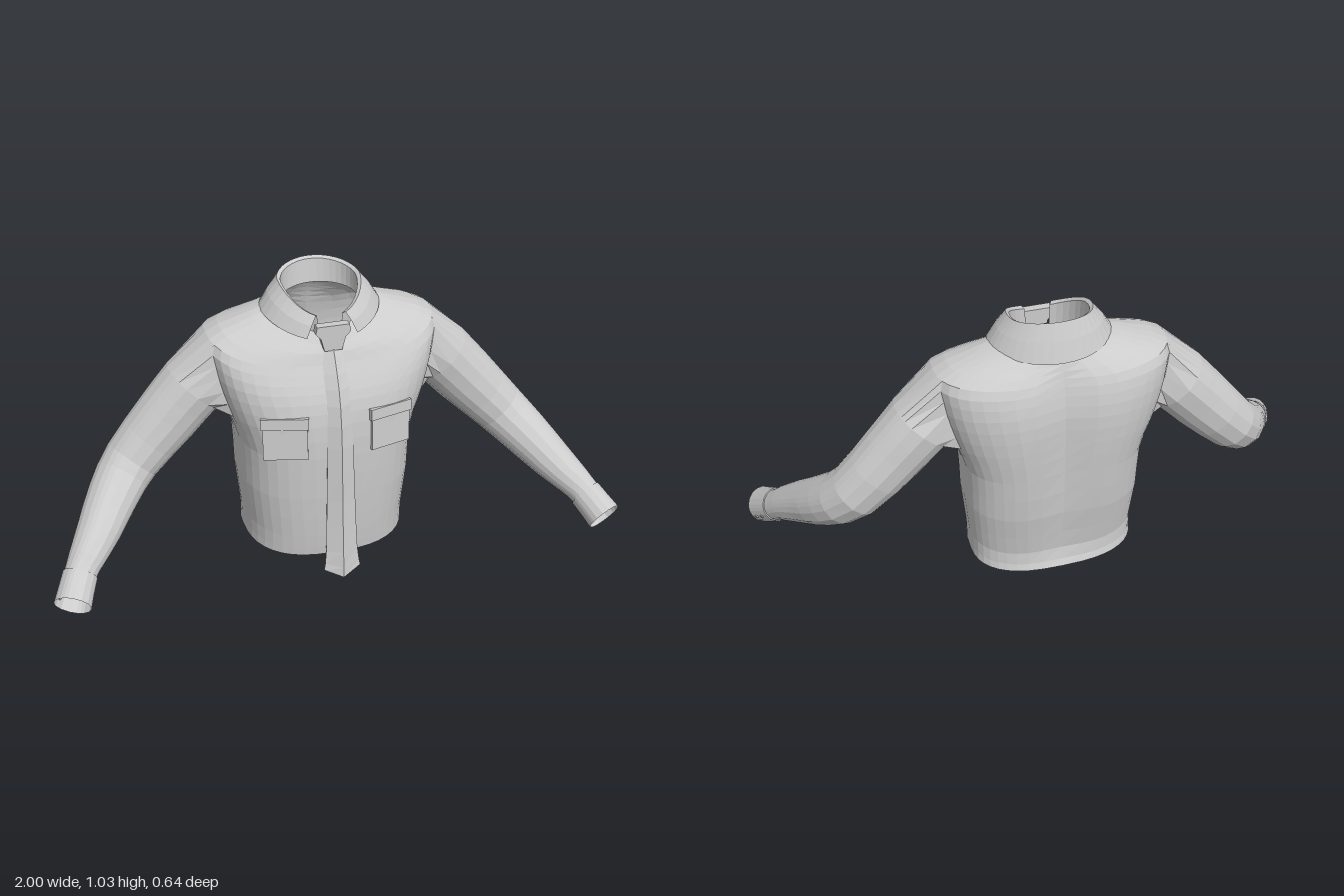
import * as THREE from 'three';

const material = new THREE.MeshStandardMaterial({ color: 0xcccccc, flatShading: true, side: THREE.DoubleSide });
const V = (x, y, z) => new THREE.Vector3(x, y, z);
const mix = THREE.MathUtils.lerp;

// Smooth sample of a table of number rows at fractional row t
function sample(table, t) {
  const i = Math.min(Math.floor(t), table.length - 2), f = t - i;
  const at = k => table[Math.max(0, Math.min(table.length - 1, k))];
  const [a, b, c, d] = [at(i - 1), at(i), at(i + 1), at(i + 2)];
  return b.map((_, k) => b[k] + 0.5 * f * (c[k] - a[k] +
    f * (2 * a[k] - 5 * b[k] + 4 * c[k] - d[k] + f * (3 * (b[k] - c[k]) + d[k] - a[k]))));
}

// Skin over rows of points; skip(j, i) leaves holes
function loft(rows, closed = true, skip = () => false) {
  const n = rows[0].length, index = [];
  for (let j = 0; j < rows.length - 1; j++) {
    for (let i = 0; i < (closed ? n : n - 1); i++) {
      if (skip(j, i)) continue;
      const a = j * n + i, b = j * n + (i + 1) % n;
      index.push(a, a + n, b, b, a + n, b + n);
    }
  }
  const g = new THREE.BufferGeometry().setFromPoints(rows.flat());
  g.setIndex(index);
  g.computeVertexNormals();
  return g;
}

const mirrorRows = rows => rows.map(r => r.map(p => V(-p.x, p.y, p.z)).reverse());

// Point on a body ring: half width, side y, front z/y, back z/y, roundness, spine dent
function bodyPoint([w, yS, zF, yF, zB, yB, p, dent], a) {
  const c = Math.cos(a), s = Math.sin(a), zc = -0.11;
  const sp = Math.pow(Math.abs(s), p), m = Math.pow(Math.abs(s), 1.5);
  const x = w * Math.sign(c) * Math.pow(Math.abs(c), p);
  const z = zc + sp * ((s > 0 ? zF : zB) - zc) + (s < 0 ? dent * Math.exp(-((x / 0.09) ** 2)) : 0);
  return V(x, mix(yS, s > 0 ? yF : yB, m), z);
}

// Ring around a sleeve axis
function sleeveRing([x, y, z, r, rz], t, angles) {
  const u = V(0, 0, 1).addScaledVector(t, -t.z).normalize();
  const v = u.clone().cross(t);
  return angles.map(a => V(x, y, z).addScaledVector(u, rz * Math.cos(a)).addScaledVector(v, r * Math.sin(a)));
}

export function createModel() {
  const group = new THREE.Group();
  const add = (name, geometry, parent = group) => {
    const m = new THREE.Mesh(geometry, material);
    m.name = name;
    parent.add(m);
    return m;
  };

  // Body, hem to neckline
  const bodyTable = [
    [0.285, 0.08, 0.13, 0.055, -0.275, 0.06, 0.75, 0],
    [0.285, 0.16, 0.14, 0.14, -0.266, 0.13, 0.75, 0.01],
    [0.30, 0.32, 0.15, 0.30, -0.297, 0.30, 0.72, 0.02],
    [0.305, 0.48, 0.155, 0.46, -0.317, 0.48, 0.7, 0.03],
    [0.34, 0.585, 0.15, 0.58, -0.326, 0.60, 0.7, 0.035],
    [0.37, 0.68, 0.135, 0.66, -0.327, 0.70, 0.7, 0.035],
    [0.39, 0.78, 0.11, 0.72, -0.317, 0.78, 0.7, 0.035],
    [0.39, 0.855, 0.08, 0.775, -0.298, 0.84, 0.75, 0.03],
    [0.29, 0.895, 0.065, 0.81, -0.265, 0.885, 0.85, 0.01],
    [0.19, 0.925, 0.05, 0.83, -0.235, 0.925, 1, 0],
    [0.13, 0.94, 0.03, 0.86, -0.212, 0.945, 1, 0],
  ];
  const N = 40, body = [];
  for (let j = 0; j <= 20; j++) {
    const row = sample(bodyTable, j / 2);
    body.push(Array.from({ length: N }, (_, i) => bodyPoint(row, i / N * Math.PI * 2)));
  }
  const inArmhole = (j, i) => j >= 8 && j < 14 && (i < 2 || i >= 38 || (i >= 18 && i < 22));
  add('jacketBody', loft(body, true, inArmhole));

  // Armhole edge, shared by body and sleeve
  const armhole = [], at = (j, i) => armhole.push(body[j][(i + N) % N].clone());
  for (let i = -2; i < 2; i++) at(8, i);
  for (let j = 8; j < 14; j++) at(j, 2);
  for (let i = 2; i > -2; i--) at(14, i);
  for (let j = 14; j > 8; j--) at(j, -2);
  const angles = armhole.map(p => Math.atan2(p.y - 0.72, p.z + 0.11));

  // Sleeve axis: x, y, z, radius, radius along z
  const arm = [
    [0.36, 0.735, -0.115, 0.13, 0.115],
    [0.44, 0.66, -0.115, 0.115, 0.112],
    [0.53, 0.56, -0.112, 0.111, 0.103],
    [0.665, 0.415, -0.095, 0.097, 0.097],
    [0.745, 0.335, -0.02, 0.087, 0.09],
    [0.815, 0.265, 0.08, 0.074, 0.077],
    [0.872, 0.212, 0.155, 0.06, 0.063],
    [0.90, 0.18, 0.195, 0.054, 0.056],
    [0.94, 0.125, 0.28, 0.06, 0.062],
  ];
  const ringAt = (t, grow = 0) => {
    const c = sample(arm, t), lo = sample(arm, Math.max(0, t - 0.3)), hi = sample(arm, Math.min(8, t + 0.3));
    const dir = V(hi[0] - lo[0], hi[1] - lo[1], hi[2] - lo[2]).normalize();
    return sleeveRing([c[0], c[1], c[2], c[3] + grow, c[4] + grow], dir, angles);
  };
  const sleeve = [armhole];
  for (let t = 1; t <= 7; t += 0.5) sleeve.push(ringAt(t));
  const cuff = [ringAt(7, -0.002), ringAt(7, 0.004), ringAt(7.5, 0.003), ringAt(8, 0.002)];

  for (const side of [1, -1]) {
    const name = side > 0 ? 'left' : 'right';
    const place = rows => loft(side > 0 ? rows : mirrorRows(rows));
    add(name + 'Sleeve', place(sleeve));
    add(name + 'Cuff', place(cuff));

    // Cuff buttons
    const out = V(0.78 * side, -0.31, -0.54);
    for (const k of [0.35, 0.65]) {
      const c = sample(arm, 7 + k);
      const b = add(name + 'CuffButton', new THREE.CylinderGeometry(0.007, 0.007, 0.008, 8));
      b.position.set(c[0] * side, c[1], c[2]).addScaledVector(out, c[3] + 0.003);
      b.quaternion.setFromUnitVectors(V(0, 1, 0), out.clone().normalize());
    }

    // Chest pocket with flap
    const pocket = new THREE.Group();
    pocket.name = name + 'Pocket';
    pocket.position.set(0.18 * side, 0.54, 0.122);
    pocket.rotation.set(-0.06, 0.28 * side, 0);
    add('pocketBag', new THREE.BoxGeometry(0.15, 0.145, 0.026), pocket);
    add('pocketFlap', new THREE.BoxGeometry(0.16, 0.04, 0.036), pocket).position.y = 0.06;
    group.add(pocket);
  }

  // Front placket: ridged strip, rows of y, ridge z, half width
  const placketTable = [
    [0, 0.21, 0.065], [0.1, 0.203, 0.056], [0.3, 0.19, 0.05], [0.5, 0.18, 0.045],
    [0.65, 0.158, 0.042], [0.75, 0.118, 0.04], [0.84, 0.062, 0.036],
  ];
  const placket = [];
  for (let t = 0; t <= 6; t += 0.5) {
    const [y, z, w] = sample(placketTable, t), lift = 0.028 * Math.max(0, 1 - t);
    placket.push([V(w * 0.75, y + lift, z - 0.07), V(w, y + lift, z - 0.022), V(0, y, z),
      V(-w, y + lift, z - 0.022), V(-w * 0.75, y + lift, z - 0.07)]);
  }
  add('frontPlacket', loft(placket));
  const end = placket[0];
  add('placketHem', loft([[end[4], end[3], end[2]], [end[0], end[1], end[2]]], false));

  // Fold-over collar, open at the front
  const collarRings = [
    [0.128, 0.93, 0.03, 0.85, -0.21, 0.94, 1, 0],
    [0.128, 1.0, 0.035, 0.925, -0.222, 1.022, 1, 0],
    [0.14, 1.008, 0.05, 0.93, -0.232, 1.03, 1, 0],
    [0.175, 0.965, 0.066, 0.90, -0.252, 0.97, 1, 0],
    [0.205, 0.918, 0.076, 0.86, -0.272, 0.90, 1, 0],
  ];
  const M = 32, collar = collarRings.map((ring, k) => Array.from({ length: M + 1 }, (_, i) => {
    const gap = 0.31 + 0.03 * k;
    return bodyPoint(ring, mix(Math.PI / 2 - gap, -1.5 * Math.PI + gap, i / M));
  }));
  add('collar', loft(collar, false));

  // Neck tab between the collar points
  const tabShape = new THREE.Shape([
    [-0.03, 0.82], [0.03, 0.82], [0.042, 0.865], [0.06, 0.885], [0.055, 0.91],
    [-0.055, 0.91], [-0.06, 0.885], [-0.042, 0.865],
  ].map(p => new THREE.Vector2(...p)));
  const tab = new THREE.ExtrudeGeometry(tabShape, { depth: 0.03, bevelEnabled: false });
  add('neckTab', tab).position.z = 0.042;

  return group;
}
